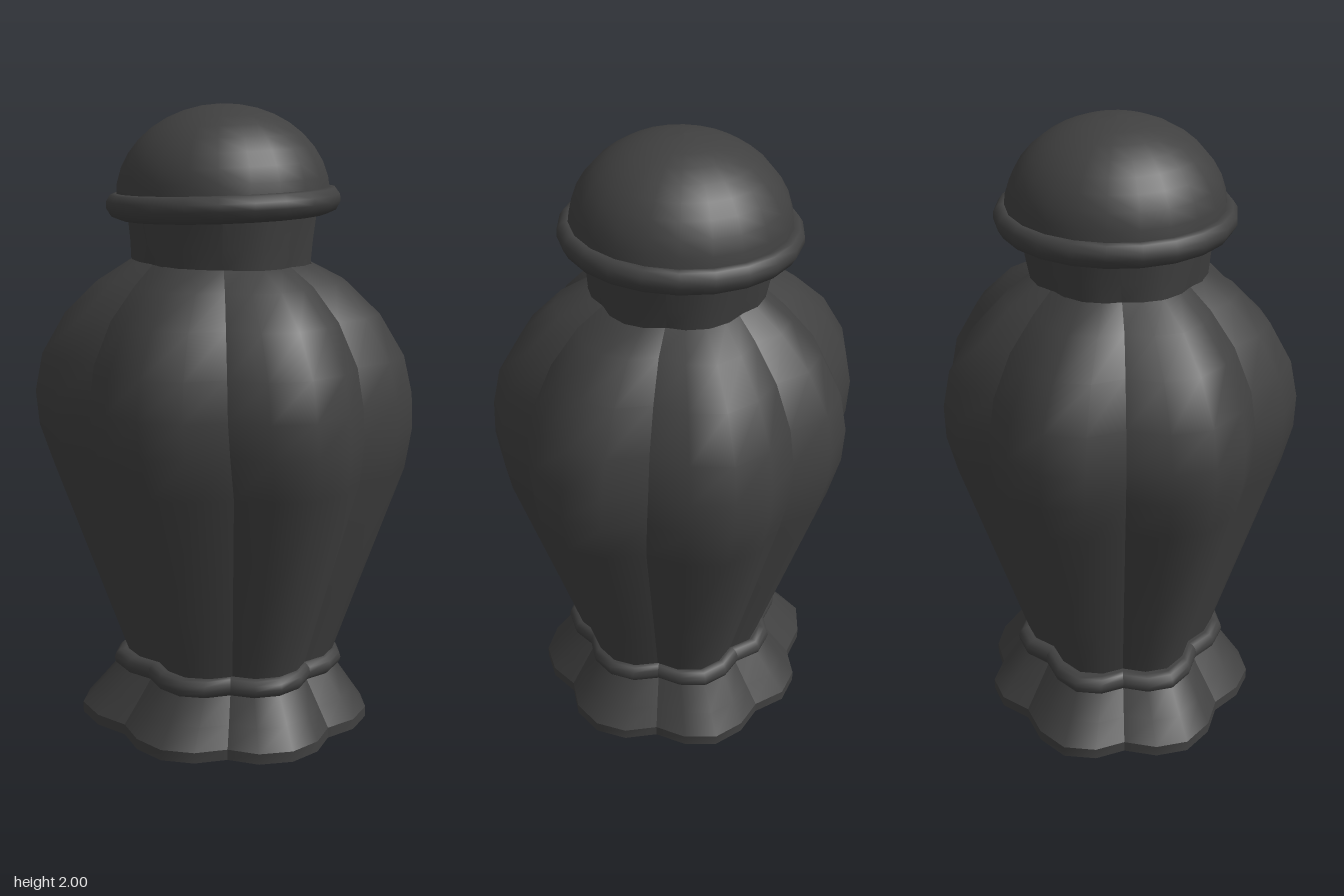
import * as THREE from 'three';
import { mergeGeometries } from 'three/addons/utils/BufferGeometryUtils.js';

const material = new THREE.MeshStandardMaterial({ color: 0x404040, side: THREE.DoubleSide });

// Plan outline (x, z) of the seven lobes; each lobe runs from valley to valley.
const HALF = 0.5875;
const lobes = [
  [[-0.55, -0.02], [-0.59, -0.14], [-0.565, -0.27], [-0.455, -0.365], [-0.31, -0.415]],
  [[-0.31, -0.415], [-0.22, -0.52], [-0.095, -0.56], [0.04, -0.52]],
  [[0.04, -0.52], [0.17, -0.545], [0.30, -0.515], [0.39, -0.415], [0.43, -0.29]],
  [[0.43, -0.29], [0.535, -0.205], [0.585, -0.085], [0.565, 0.05], [0.485, 0.16]],
  [[0.485, 0.16], [0.475, 0.29], [0.405, 0.405], [0.285, 0.47], [0.155, 0.47]],
  [[0.155, 0.47], [0.04, 0.54], [-0.095, 0.555], [-0.22, 0.495], [-0.315, 0.39]],
  [[-0.315, 0.39], [-0.455, 0.34], [-0.565, 0.24], [-0.59, 0.11], [-0.55, -0.02]],
];

// Place an outline point on a row: height, left and right extent, lobe strength, tilt.
function place([px, pz], [y, xl, xr, lobe = 1, tilt = 0]) {
  let x = (px + 0.0025) / HALF, z = pz / HALF;
  const r = Math.hypot(x, z);
  const k = lobe + (1 - lobe) / r;
  x *= k;
  z *= k;
  const half = (xr - xl) / 2;
  return [(xl + xr) / 2 + x * half, y + tilt * x, z * half - 0.012 * (1 - lobe)];
}

// Loft through rows, bottom to top; lobes are smooth with a sharp valley between them.
function loft(name, rows) {
  const parts = lobes.map((lobe) => {
    const n = lobe.length, index = [];
    const position = rows.flatMap((row) => lobe.flatMap((p) => place(p, row)));
    for (let j = 0; j < rows.length - 1; j++) {
      for (let i = 0; i < n - 1; i++) {
        const a = j * n + i, b = a + 1, c = a + n, d = c + 1;
        index.push(a, c, b, b, c, d);
      }
    }
    const g = new THREE.BufferGeometry();
    g.setAttribute('position', new THREE.Float32BufferAttribute(position, 3));
    g.setIndex(index);
    g.computeVertexNormals();
    return g;
  });
  const mesh = new THREE.Mesh(mergeGeometries(parts), material);
  mesh.name = name;
  return mesh;
}

function lathe(name, points) {
  const profile = points.map(([r, y]) => new THREE.Vector2(r, y));
  const mesh = new THREE.Mesh(new THREE.LatheGeometry(profile, 22), material);
  mesh.name = name;
  return mesh;
}

export function createModel() {
  const group = new THREE.Group();
  group.name = 'lobedJar';

  // Foot: closed bottom, short upright edge, sloping skirt
  group.add(
    loft('footBottom', [[0, -0.005, -0.005], [0, -0.47, 0.46]]),
    loft('footEdge', [[0, -0.47, 0.46], [0.035, -0.47, 0.46]]),
    loft('footSkirt', [[0.035, -0.47, 0.46], [0.1, -0.415, 0.415], [0.18, -0.35, 0.36]]),
  );

  // Rounded bead between foot and body
  const bead = [];
  for (let i = 0; i <= 6; i++) {
    const a = -Math.PI / 2 + (Math.PI * i) / 6;
    const out = 0.033 * Math.cos(a);
    bead.push([0.2 + 0.032 * Math.sin(a), -0.332 - out, 0.342 + out, 1, 0.008]);
  }
  bead.push([0.232, -0.29, 0.3, 1, 0.008]);
  group.add(loft('footBead', bead));

  // Lobed body
  group.add(loft('body', [
    [0.2, -0.31, 0.335],
    [0.45, -0.395, 0.42],
    [0.87, -0.537, 0.565],
    [1.0, -0.58, 0.585],
    [1.11, -0.59, 0.58],
    [1.23, -0.567, 0.553],
    [1.36, -0.495, 0.475],
    [1.46, -0.395, 0.37],
    [1.52, -0.295, 0.26, 0.6, -0.008],
  ]));

  // Neck, turning from lobed to round
  group.add(loft('neck', [
    [1.505, -0.3, 0.256, 0.6, -0.008],
    [1.58, -0.308, 0.263, 0.25],
    [1.69, -0.322, 0.277, 0],
  ]));

  // Slightly tilted lid: rim and dome
  const lid = new THREE.Group();
  lid.name = 'lid';
  lid.add(lathe('lidRim', [
    [0.26, -0.045], [0.325, -0.045], [0.352, -0.034], [0.367, -0.008],
    [0.366, 0.014], [0.353, 0.033], [0.336, 0.037], [0.32, 0.03],
  ]));
  const dome = [];
  for (let i = 0; i <= 9; i++) {
    const a = (Math.PI / 2) * (i / 9);
    dome.push([Math.max(0, 0.335 * Math.cos(a)), 0.02 + 0.278 * Math.sin(a)]);
  }
  lid.add(lathe('lidDome', dome));
  lid.position.set(-0.02, 1.701, -0.014);
  lid.rotation.z = 0.035;
  group.add(lid);

  return group;
}
